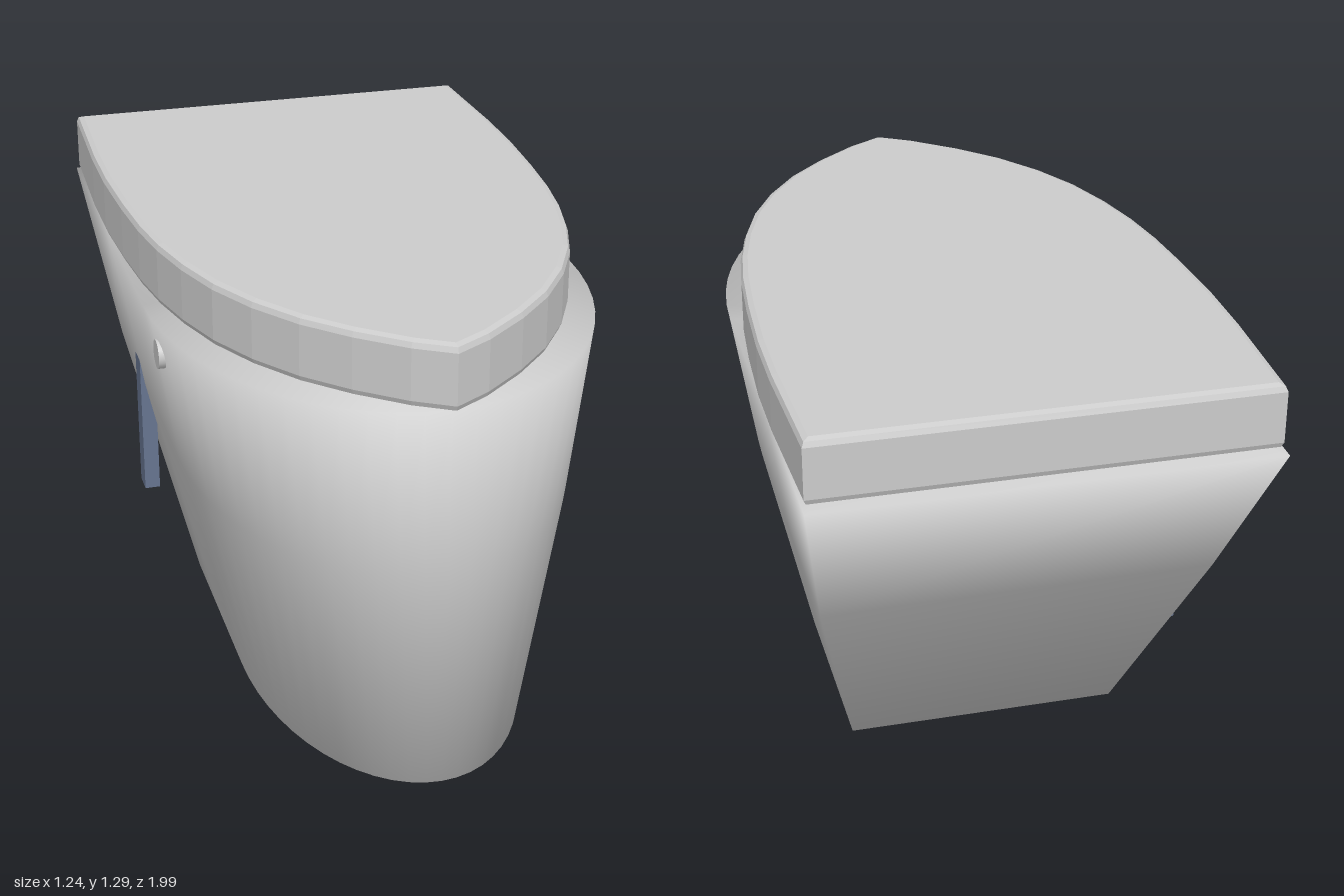
import * as THREE from 'three';

const grey = () => new THREE.MeshStandardMaterial({ color: 0xcccccc, side: THREE.DoubleSide });

function add(group, name, geometry, material, x = 0, y = 0, z = 0) {
  const mesh = new THREE.Mesh(geometry, material);
  mesh.name = name;
  mesh.position.set(x, y, z);
  group.add(mesh);
  return mesh;
}

// U-shaped outline: square back, straight sides, half-elliptical front
function outline({ w, back, mid, front }) {
  const pts = [];
  const sideSteps = 2, arcSteps = 28;
  for (let i = 0; i < sideSteps; i++) pts.push([w, back + (mid - back) * i / sideSteps]);
  for (let i = 0; i <= arcSteps; i++) {
    const a = Math.PI * i / arcSteps;
    pts.push([w * Math.cos(a), mid + (front - mid) * Math.sin(a)]);
  }
  for (let i = sideSteps - 1; i >= 0; i--) pts.push([-w, back + (mid - back) * i / sideSteps]);
  return pts;
}

// Closed loft through the outlines, with smooth shared normals
function loft(sections) {
  const pos = [], idx = [];
  let n = 0;
  for (const s of sections) {
    const pts = outline(s);
    n = pts.length;
    for (const [x, z] of pts) pos.push(x, s.y, z);
  }
  const last = sections.length - 1;
  const centre = s => pos.push(0, s.y, (s.back + s.front) / 2);
  centre(sections[0]);
  centre(sections[last]);
  const bottom = n * (last + 1), top = bottom + 1;
  for (let j = 0; j < n; j++) {
    const k = (j + 1) % n;
    for (let r = 0; r < last; r++) {
      const a = r * n + j, b = r * n + k;
      idx.push(a, a + n, b, b, a + n, b + n);
    }
    idx.push(bottom, j, k, top, last * n + k, last * n + j);
  }
  const g = new THREE.BufferGeometry();
  g.setAttribute('position', new THREE.Float32BufferAttribute(pos, 3));
  g.setIndex(idx);
  g.computeVertexNormals();
  return g;
}

// Pointed lid with a bevelled rim
function lidGeometry() {
  const half = [
    [0.605, -0.97], [0.618, -0.6], [0.618, -0.4], [0.607, -0.18], [0.592, 0.0],
    [0.57, 0.15], [0.535, 0.3], [0.485, 0.45], [0.415, 0.59], [0.325, 0.72],
    [0.22, 0.83], [0.1, 0.93], [0, 0.99],
  ];
  const mirrored = half.slice(0, -1).reverse().map(([x, z]) => [-x, z]);
  const shape = new THREE.Shape([...half, ...mirrored].map(([x, z]) => new THREE.Vector2(x, -z)));
  const bevel = 0.02;
  const g = new THREE.ExtrudeGeometry(shape, {
    depth: 0.18 - 2 * bevel, bevelEnabled: true, bevelSize: bevel,
    bevelThickness: bevel, bevelOffset: -bevel, bevelSegments: 2,
  });
  g.rotateX(-Math.PI / 2);
  g.translate(0, bevel, 0);
  return g;
}

export function createModel() {
  const model = new THREE.Group();
  model.name = 'toilet';

  // Tapered bowl with a sloping back
  add(model, 'bowl', loft([
    { y: 0, w: 0.385, back: -0.35, mid: 0.235, front: 0.935 },
    { y: 0.65, w: 0.533, back: -0.73, mid: 0.17, front: 0.955 },
    { y: 1.113, w: 0.61, back: -1, mid: 0.13, front: 0.96 },
  ]), grey());

  // Lid
  add(model, 'lid', lidGeometry(), grey(), 0, 1.115, 0);

  // Upright bar on the side, its top sunk into the bowl
  add(model, 'sideBar', new THREE.BoxGeometry(0.045, 0.5, 0.07),
    new THREE.MeshStandardMaterial({ color: 0x66748f }), -0.523, 0.545, -0.39);

  // Round button on the side
  const button = add(model, 'sideButton', new THREE.CylinderGeometry(0.04, 0.04, 0.04, 20),
    grey(), -0.58, 1.02, 0.25);
  button.rotation.z = Math.PI / 2;

  return model;
}
